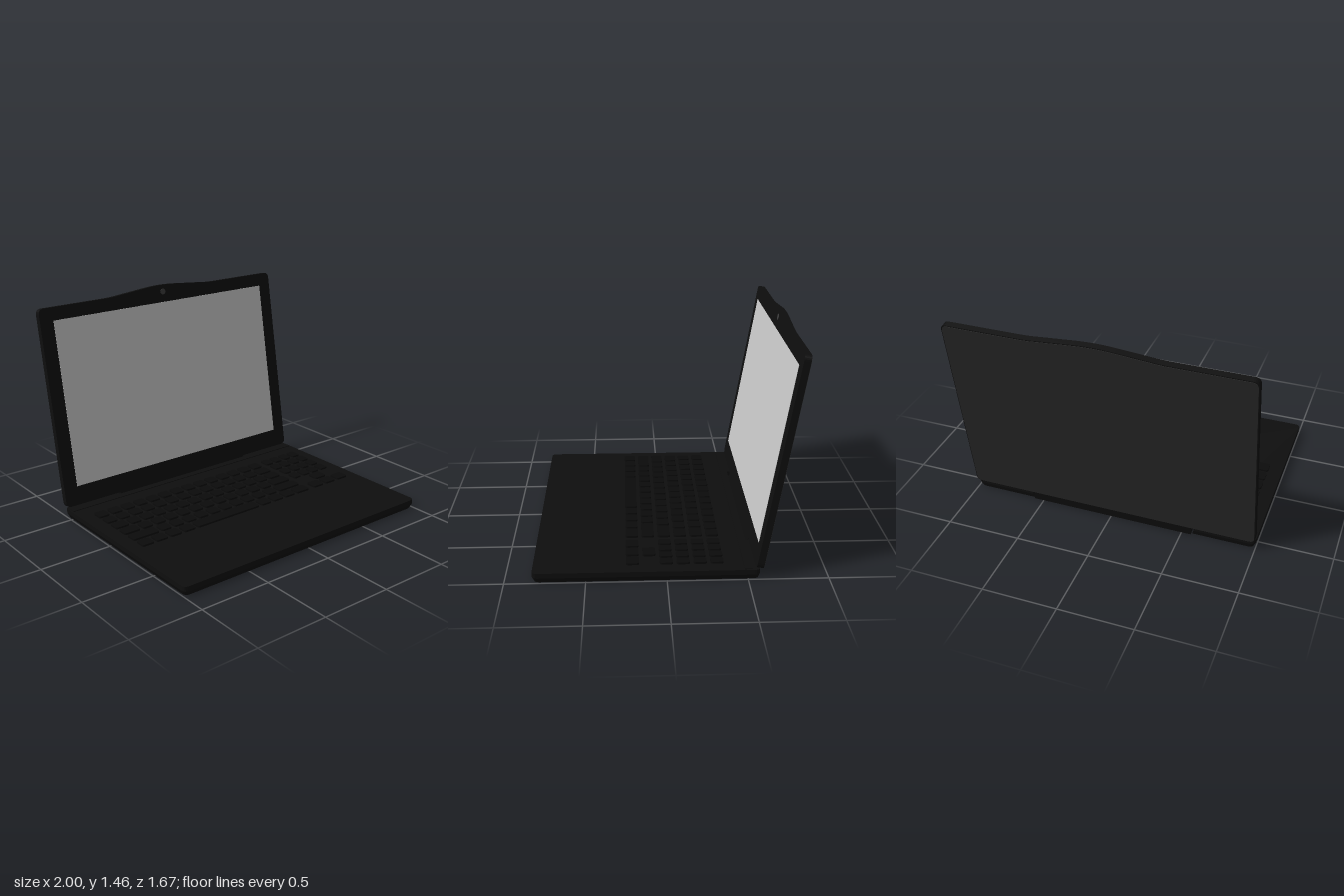
import * as THREE from 'three';

const paint = (color) => new THREE.MeshStandardMaterial({ color });
const DARK = paint(0x0e0e0e), KEY = paint(0x0b0b0b), COVER = paint(0x282828);
const LENS = paint(0x3c3c3c), SCREEN = paint(0xcccccc);

function part(name, geometry, material, parent) {
  const mesh = new THREE.Mesh(geometry, material);
  mesh.name = name;
  parent.add(mesh);
  return mesh;
}

function box(name, w, h, d, x, y, z, material, parent) {
  const mesh = part(name, new THREE.BoxGeometry(w, h, d), material, parent);
  mesh.position.set(x, y, z);
  return mesh;
}

function roundedRect(w, h, r) {
  const s = new THREE.Shape(), a = w / 2 - r, b = h / 2 - r;
  s.absarc(a, b, r, 0, Math.PI / 2);
  s.absarc(-a, b, r, Math.PI / 2, Math.PI);
  s.absarc(-a, -b, r, Math.PI, Math.PI * 1.5);
  s.absarc(a, -b, r, Math.PI * 1.5, Math.PI * 2);
  return s;
}

// Lower body: rounded plate with a notch for the hinge and a tucked-in underside
function baseGeometry() {
  const front = -0.83, back = 0.575, notch = 0.53, r = 0.035;
  const s = new THREE.Shape();
  s.moveTo(-1 + r, front);
  s.lineTo(1 - r, front);
  s.quadraticCurveTo(1, front, 1, front + r);
  s.lineTo(1, back - r);
  s.quadraticCurveTo(1, back, 1 - r, back);
  s.lineTo(0.58, back);
  s.lineTo(0.58, notch);
  s.lineTo(-0.58, notch);
  s.lineTo(-0.58, back);
  s.lineTo(-1 + r, back);
  s.quadraticCurveTo(-1, back, -1, back - r);
  s.lineTo(-1, front + r);
  s.quadraticCurveTo(-1, front, -1 + r, front);
  const g = new THREE.ExtrudeGeometry(s, { depth: 0.065, steps: 2, bevelEnabled: false, curveSegments: 5 });
  g.rotateX(-Math.PI / 2);
  const p = g.attributes.position;
  for (let i = 0; i < p.count; i++) {
    if (p.getY(i) < 0.01) p.setXYZ(i, p.getX(i) * 0.985, 0, p.getZ(i) * 0.985);
  }
  g.computeVertexNormals();
  return g;
}

// Lid outline with the raised crest in the middle of its top edge
function lidShape(inset = 0) {
  const x = 1 - inset, y0 = inset, y1 = 1.38 - inset, peak = 1.414 - inset, r = 0.04;
  const s = new THREE.Shape();
  s.moveTo(-x + r, y0);
  s.lineTo(x - r, y0);
  s.quadraticCurveTo(x, y0, x, y0 + r);
  s.lineTo(x, y1 - r);
  s.quadraticCurveTo(x, y1, x - r, y1);
  s.lineTo(0.48, y1);
  s.quadraticCurveTo(0.42, y1, 0.36, y1 + 0.007);
  s.lineTo(0.14, peak - 0.007);
  s.quadraticCurveTo(0, peak + 0.007, -0.14, peak - 0.007);
  s.lineTo(-0.36, y1 + 0.007);
  s.quadraticCurveTo(-0.42, y1, -0.48, y1);
  s.lineTo(-x + r, y1);
  s.quadraticCurveTo(-x, y1, -x, y1 - r);
  s.lineTo(-x, y0 + r);
  s.quadraticCurveTo(-x, y0, -x + r, y0);
  return s;
}

function slab(shape, depth, z) {
  const g = new THREE.ExtrudeGeometry(shape, { depth, bevelEnabled: false, curveSegments: 6 });
  return g.translate(0, 0, z);
}

// One row of keys, given relative widths, filling the span from x0 to x1
function keyRow(widths, x0, x1, z, parent) {
  const gap = 0.022;
  const total = widths.reduce((a, b) => a + b, 0);
  const unit = (x1 - x0 - gap * (widths.length - 1)) / total;
  let x = x0;
  for (const k of widths) {
    const w = k * unit;
    const g = new THREE.ExtrudeGeometry(roundedRect(w, 0.082, 0.014), {
      depth: 0.018, bevelEnabled: false, curveSegments: 3,
    });
    g.rotateX(-Math.PI / 2);
    part('key', g, KEY, parent).position.set(x + w / 2, 0.06, z);
    x += w + gap;
  }
}

export function createModel() {
  const model = new THREE.Group();
  model.name = 'laptop';

  const base = new THREE.Group();
  base.name = 'base';
  model.add(base);
  part('baseBody', baseGeometry(), DARK, base);
  box('rearStrip', 1.98, 0.01, 0.05, 0, 0.065, -0.504, DARK, base);

  // Keyboard: six main rows, with a number pad and arrow keys at the side
  const keyboard = new THREE.Group();
  keyboard.name = 'keyboard';
  base.add(keyboard);
  const ones = (n) => Array(n).fill(1);
  const rows = [
    ones(14),
    [...ones(13), 1.4],
    [1.3, ...ones(12), 1.3],
    [1.5, ...ones(11), 1.9],
    [2.5, ...ones(10), 2.4],
    [1, 1, 1, 1, 6, 1, 1, 1, 1.3],
  ];
  rows.forEach((widths, i) => {
    const z = -0.316 + i * 0.1055;
    keyRow(widths, -0.905, 0.53, z, keyboard);
    if (i < 4) keyRow(ones(4), 0.58, 0.91, z, keyboard);
    else if (i === 4) keyRow([1], 0.695, 0.795, z, keyboard);
    else keyRow(ones(3), 0.58, 0.91, z, keyboard);
  });

  // Lid, leaning back from the rear edge of the base
  const lid = new THREE.Group();
  lid.name = 'lid';
  lid.position.set(0, 0.07, -0.55);
  lid.rotation.x = -0.172;
  model.add(lid);
  part('lidFrame', slab(lidShape(), 0.043, -0.043), DARK, lid);
  part('lidCover', slab(lidShape(0.006), 0.003, -0.046), COVER, lid);
  box('screen', 1.8, 1.158, 0.003, 0, 0.711, 0.0005, SCREEN, lid);
  const lens = part('camera', new THREE.CylinderGeometry(0.021, 0.021, 0.004, 20), LENS, lid);
  lens.rotation.x = Math.PI / 2;
  lens.position.set(0, 1.365, 0.001);
  box('hinge', 1.13, 0.066, 0.043, 0, -0.027, -0.0225, DARK, lid);

  return model;
}
